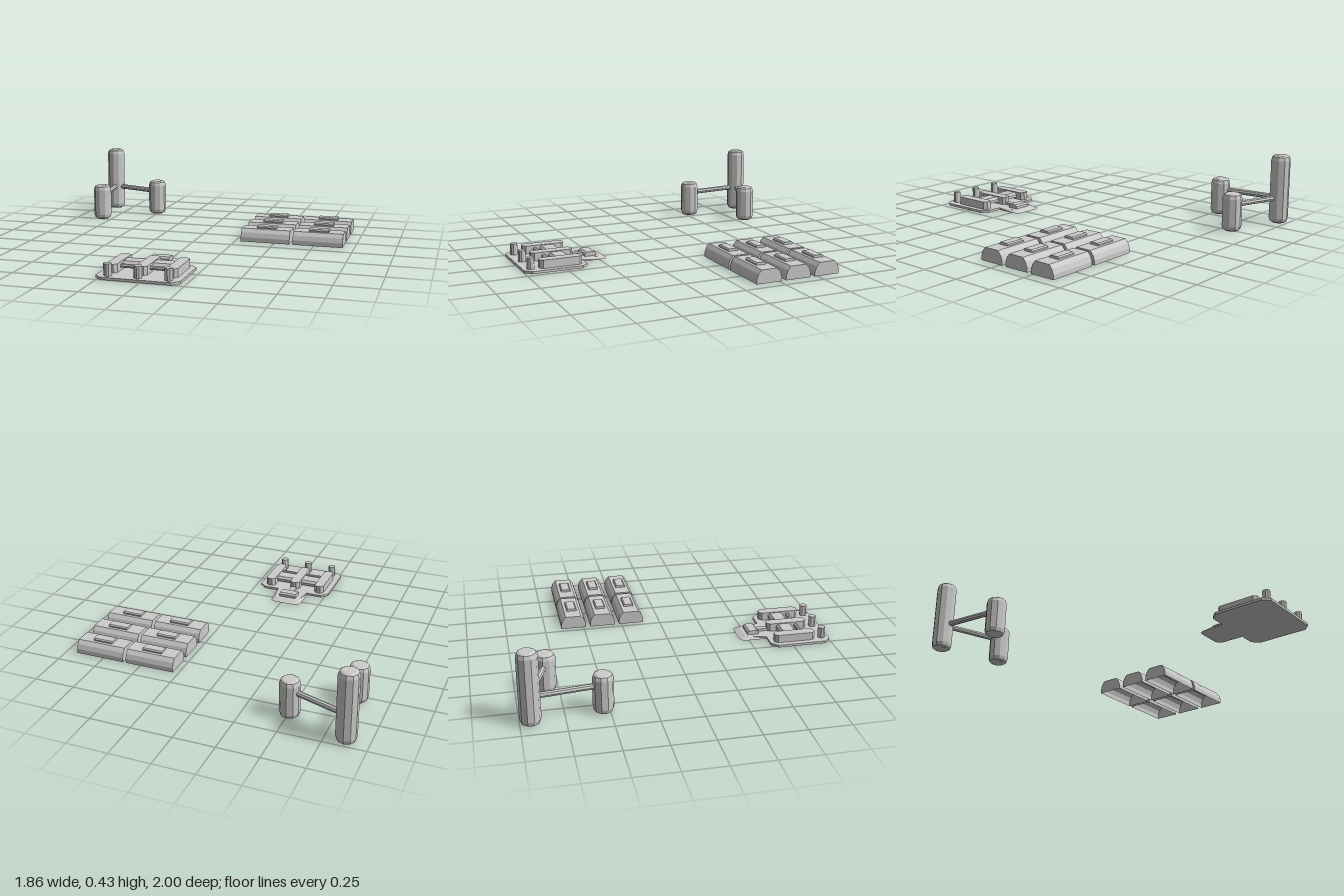
import * as THREE from 'three';

const mat = new THREE.MeshStandardMaterial({ color: 0xcccccc, flatShading: true, side: THREE.DoubleSide });

function add(parent, name, geometry, x = 0, y = 0, z = 0) {
  const mesh = new THREE.Mesh(geometry, mat);
  mesh.name = name;
  mesh.position.set(x, y, z);
  parent.add(mesh);
  return mesh;
}

// Upright slab with chamfered corners, centred on x and z, standing on y = 0
function slab(w, d, h, cut) {
  const a = w / 2, b = d / 2;
  const pts = [[-a + cut, -b], [a - cut, -b], [a, -b + cut], [a, b - cut],
    [a - cut, b], [-a + cut, b], [-a, b - cut], [-a, -b + cut]];
  const shape = new THREE.Shape(pts.map(p => new THREE.Vector2(...p)));
  return new THREE.ExtrudeGeometry(shape, { depth: h, bevelEnabled: false }).rotateX(-Math.PI / 2);
}

// Bar running along x with a (z, y) cross-section, optionally without its underside
function barX(profile, length, openBottom = false) {
  const shape = new THREE.Shape(profile.map(([z, y]) => new THREE.Vector2(-z, y)));
  let g = new THREE.ExtrudeGeometry(shape, { depth: length, bevelEnabled: false });
  g.translate(0, 0, -length / 2).rotateY(Math.PI / 2);
  if (openBottom) {
    const p = g.attributes.position, keep = [];
    for (let i = 0; i < p.count; i += 3) {
      const low = [0, 1, 2].every(k => p.getY(i + k) < 1e-6);
      if (!low) for (let k = 0; k < 3; k++) keep.push(p.getX(i + k), p.getY(i + k), p.getZ(i + k));
    }
    g = new THREE.BufferGeometry();
    g.setAttribute('position', new THREE.Float32BufferAttribute(keep, 3));
    g.computeVertexNormals();
  }
  return g;
}

function mirrored(half) {
  return [...half, ...half.slice().reverse().map(([z, y]) => [-z, y])];
}

// Three upright tanks joined by pipes
function buildTanks() {
  const group = new THREE.Group();
  group.name = 'tankCluster';
  const tanks = [[-0.87, -0.94, 0.433], [-0.51, -0.82, 0.235], [-0.82, -0.535, 0.235]];
  for (const [x, z, h] of tanks) {
    const profile = [[0, 0], [0.04, 0], [0.053, 0.008], [0.06, 0.03],
      [0.06, h - 0.03], [0.053, h - 0.008], [0.04, h], [0, h]];
    add(group, 'tank', new THREE.LatheGeometry(profile.map(p => new THREE.Vector2(...p)), 10), x, 0, z);
  }
  const [main, ...small] = tanks;
  for (const [x, z] of small) {
    const dx = x - main[0], dz = z - main[1];
    const pipe = add(group, 'connectingPipe',
      new THREE.CylinderGeometry(0.017, 0.017, Math.hypot(dx, dz), 8).rotateX(Math.PI / 2),
      main[0] + dx / 2, 0.16, main[1] + dz / 2);
    pipe.rotation.y = Math.atan2(dx, dz);
  }
  return group;
}

// Two by three block of low, round-shouldered shelters
function buildShelters() {
  const group = new THREE.Group();
  group.name = 'shelterBlock';
  const shell = barX(mirrored([[0.08, 0], [0.08, 0.028], [0.07, 0.057], [0.05, 0.08]]), 0.312, true);
  const hatch = barX(mirrored([[0.032, 0.075], [0.032, 0.088], [0.025, 0.095]]), 0.125);
  for (const x of [0.441, 0.773]) {
    for (const z of [-0.565, -0.375, -0.186]) {
      add(group, 'shelterShell', shell, x, 0, z);
      add(group, 'roofHatch', hatch, x, 0, z);
    }
  }
  return group;
}

// Platform with machinery and a sloping ramp at the back
function buildPlatform() {
  const group = new THREE.Group();
  group.name = 'platform';
  const cx = -0.026;
  add(group, 'basePlate', slab(0.486, 0.385, 0.015, 0.04), cx, 0, 0.806);

  // Ramp: rounded outline, top edge drawn inward to make the slope
  const ramp = new THREE.Shape();
  ramp.moveTo(-0.104, -0.63);
  ramp.lineTo(0.104, -0.63);
  ramp.lineTo(0.104, -0.49);
  ramp.quadraticCurveTo(0.104, -0.445, 0.06, -0.445);
  ramp.lineTo(-0.06, -0.445);
  ramp.quadraticCurveTo(-0.104, -0.445, -0.104, -0.49);
  const rampGeo = new THREE.ExtrudeGeometry(ramp, { depth: 0.015, bevelEnabled: false, curveSegments: 4 });
  rampGeo.rotateX(-Math.PI / 2);
  const p = rampGeo.attributes.position;
  for (let i = 0; i < p.count; i++) {
    if (p.getY(i) > 0.01 && p.getZ(i) < 0.55) {
      p.setX(i, p.getX(i) * 0.84);
      p.setZ(i, p.getZ(i) + 0.04);
    }
  }
  rampGeo.computeVertexNormals();
  add(group, 'ramp', rampGeo, cx, 0, 0);

  // Long housings with a post in front of each
  for (const dx of [-0.175, 0, 0.175]) {
    add(group, 'housing', slab(0.064, 0.26, 0.05, 0.018), cx + dx, 0.015, 0.772);
    add(group, 'post', new THREE.CylinderGeometry(0.023, 0.023, 0.083, 10), cx + dx, 0.0425, 0.952);
  }

  // Cross members between the housings
  const wide = barX(mirrored([[0.05, 0.028], [0.05, 0.045], [0.037, 0.06]]), 0.12);
  for (const dx of [-0.0875, 0.0875]) {
    add(group, 'crossBlock', wide, cx + dx, 0, 0.75);
    add(group, 'crossPipe', new THREE.CylinderGeometry(0.012, 0.012, 0.12, 8).rotateZ(Math.PI / 2),
      cx + dx, 0.042, 0.829);
  }

  // Control box over the ramp and its feed duct
  add(group, 'controlBox', barX(mirrored([[0.036, 0.012], [0.036, 0.031], [0.025, 0.041]]), 0.112), cx, 0, 0.54);
  add(group, 'feedDuct', new THREE.BoxGeometry(0.036, 0.016, 0.09), cx, 0.023, 0.61);
  return group;
}

export function createModel() {
  const model = new THREE.Group();
  model.name = 'outpost';
  model.add(buildTanks(), buildShelters(), buildPlatform());
  return model;
}
